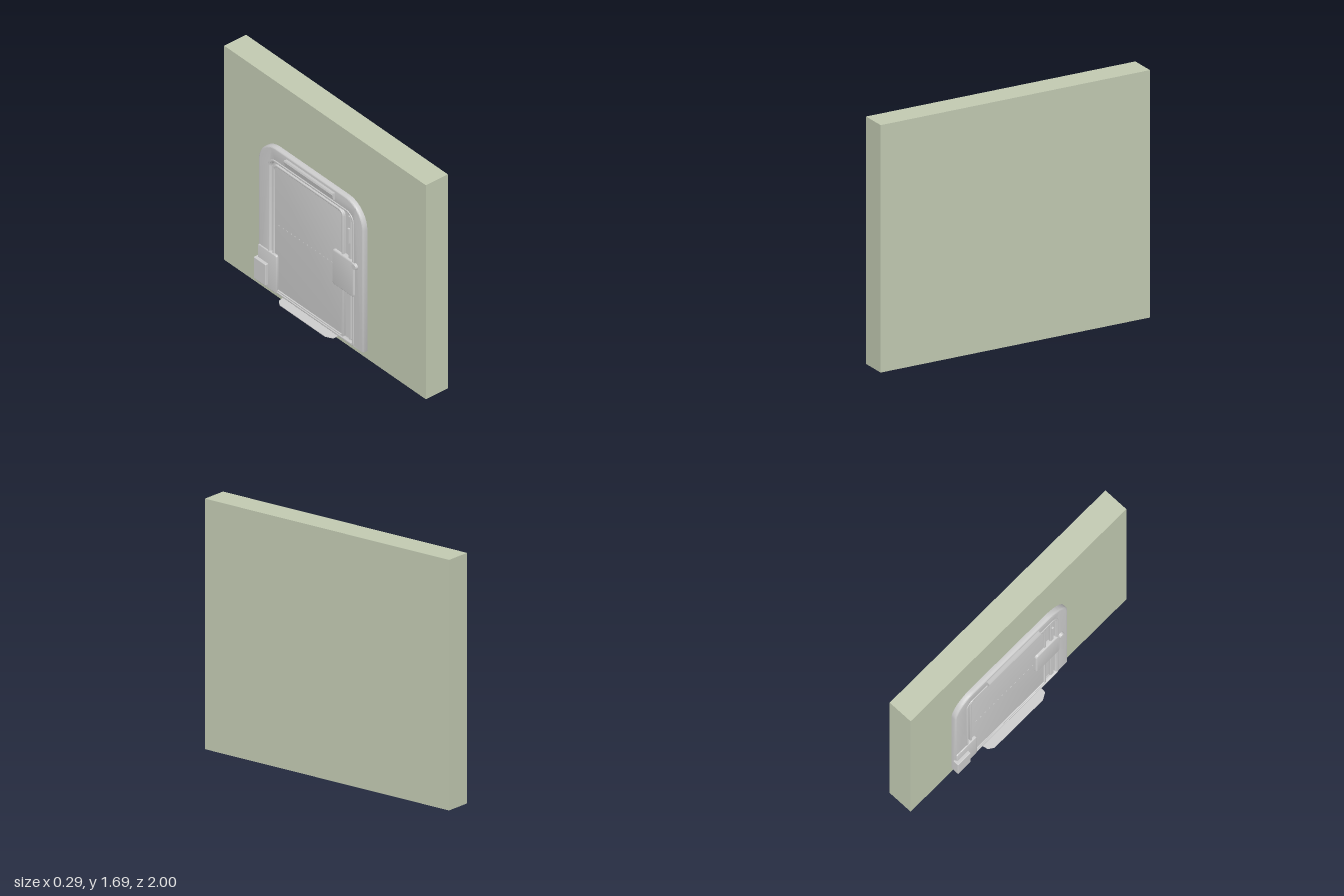
import * as THREE from 'three';
import { RoundedBoxGeometry } from 'three/addons/geometries/RoundedBoxGeometry.js';
import { toCreasedNormals } from 'three/addons/utils/BufferGeometryUtils.js';

const grey = new THREE.MeshStandardMaterial({ color: 0xcccccc });
const wallMat = new THREE.MeshStandardMaterial({ color: 0xc0c8b0 });

// Upright outline in (z, y) with separate top and bottom corner radii
function outline(z0, z1, y0, y1, rTop, rBot, Type = THREE.Shape) {
  const s = new Type();
  s.moveTo(z0 + rBot, y0);
  s.lineTo(z1 - rBot, y0);
  s.absarc(z1 - rBot, y0 + rBot, rBot, -Math.PI / 2, 0, false);
  s.lineTo(z1, y1 - rTop);
  s.absarc(z1 - rTop, y1 - rTop, rTop, 0, Math.PI / 2, false);
  s.lineTo(z0 + rTop, y1);
  s.absarc(z0 + rTop, y1 - rTop, rTop, Math.PI / 2, Math.PI, false);
  s.lineTo(z0, y0 + rBot);
  s.absarc(z0 + rBot, y0 + rBot, rBot, Math.PI, Math.PI * 1.5, false);
  return s;
}

// Extrude a (z, y) outline away from the wall, from depth d0 to d1 along -x
function slab(shape, d0, d1, bevel = 0) {
  const geo = new THREE.ExtrudeGeometry(shape, {
    depth: d1 - d0 - bevel, curveSegments: 12, bevelEnabled: bevel > 0,
    bevelSize: bevel, bevelThickness: bevel, bevelOffset: -bevel, bevelSegments: 3,
  });
  geo.translate(0, 0, d0);
  geo.rotateY(-Math.PI / 2);
  return toCreasedNormals(geo, 0.6);
}

export function createModel() {
  const model = new THREE.Group();
  const add = (name, geo, mat = grey, parent = model) => {
    const mesh = new THREE.Mesh(geo, mat);
    mesh.name = name;
    parent.add(mesh);
    return mesh;
  };
  // Box given by its ranges in depth (-x), y and z
  const block = (name, d0, d1, y0, y1, z0, z1, r = 0.005) =>
    add(name, new RoundedBoxGeometry(d1 - d0, y1 - y0, z1 - z0, 2, r))
      .position.set(-(d0 + d1) / 2, (y0 + y1) / 2, (z0 + z1) / 2);

  // Wall section
  add('wall', new THREE.BoxGeometry(0.185, 1.69, 2).translate(0.05, 0.845, 0), wallMat);

  // Door surround with a rounded rim and a rounded opening
  const frame = outline(-0.62, 0.42, 0.055, 1.2, 0.18, 0.012);
  frame.holes.push(outline(-0.5, 0.31, 0.075, 1.085, 0.06, 0.01, THREE.Path));
  add('frame', slab(frame, 0.04, 0.079, 0.012));

  // Raised lip around the opening
  const lip = outline(-0.52, 0.33, 0.065, 1.105, 0.075, 0.015);
  lip.holes.push(outline(-0.505, 0.315, 0.08, 1.09, 0.06, 0.01, THREE.Path));
  add('openingLip', slab(lip, 0.06, 0.084, 0.003));

  // Recessed floor, door panel and its edge rim
  add('recessFloor', slab(outline(-0.51, 0.32, 0.07, 1.095, 0.06, 0.01), 0.036, 0.054));
  add('panel', slab(outline(-0.48, 0.22, 0.075, 1.07, 0.045, 0.01), 0.05, 0.07, 0.004));
  const rim = outline(-0.48, 0.22, 0.075, 1.07, 0.045, 0.01);
  rim.holes.push(outline(-0.465, 0.205, 0.09, 1.055, 0.035, 0.008, THREE.Path));
  add('panelRim', slab(rim, 0.066, 0.078, 0.003));

  // Row of small studs across the panel
  const studs = new THREE.Group();
  studs.name = 'panelStuds';
  model.add(studs);
  for (let i = 0; i < 14; i++) {
    add('stud', new THREE.BoxGeometry(0.003, 0.006, 0.012), grey, studs)
      .position.set(-0.071, 0.6, -0.42 + i * 0.04);
  }

  // Slide channel beside the panel
  block('channelRail', 0.05, 0.074, 0.09, 1.06, 0.265, 0.295);
  block('channelStrip', 0.06, 0.085, 0.85, 0.97, 0.272, 0.288, 0.003);

  // Latch plate overlapping the panel edge and channel
  add('latchPlate', slab(outline(0.12, 0.34, 0.455, 0.73, 0.025, 0.025), 0.05, 0.087, 0.008));

  // Turn knob on the frame
  const knob = add('knob', new THREE.CylinderGeometry(0.02, 0.023, 0.024, 24));
  knob.rotation.z = Math.PI / 2;
  knob.position.set(-0.087, 0.71, 0.35);

  // Lower corner plate with the lock box
  add('cornerPlate', slab(outline(-0.615, -0.43, 0.065, 0.36, 0.012, 0.012), 0.06, 0.088, 0.005));
  block('lockBox', 0.065, 0.11, 0.09, 0.26, -0.63, -0.51, 0.006);

  // Slanted pull handle near the top
  const pull = new THREE.Shape([
    [-0.07, 1.125], [-0.07, 1.172], [-0.102, 1.18], [-0.106, 1.168], [-0.094, 1.125],
  ].map(([x, y]) => new THREE.Vector2(x, y)));
  add('pullHandle', new THREE.ExtrudeGeometry(pull, { depth: 0.48, bevelEnabled: false })
    .translate(0, 0, -0.335));

  // Thin sill flap with clipped corners
  const sill = new THREE.Shape([
    [0.17, 0.05], [0.17, 0.11], [0.165, 0.12], [0.12, 0.145],
    [-0.33, 0.145], [-0.365, 0.12], [-0.375, 0.08], [-0.375, 0.05],
  ].map(([z, d]) => new THREE.Vector2(-d, -z)));
  add('sill', new THREE.ExtrudeGeometry(sill, { depth: 0.005, bevelEnabled: false })
    .rotateX(-Math.PI / 2).translate(0, 0.056, 0));

  return model;
}
